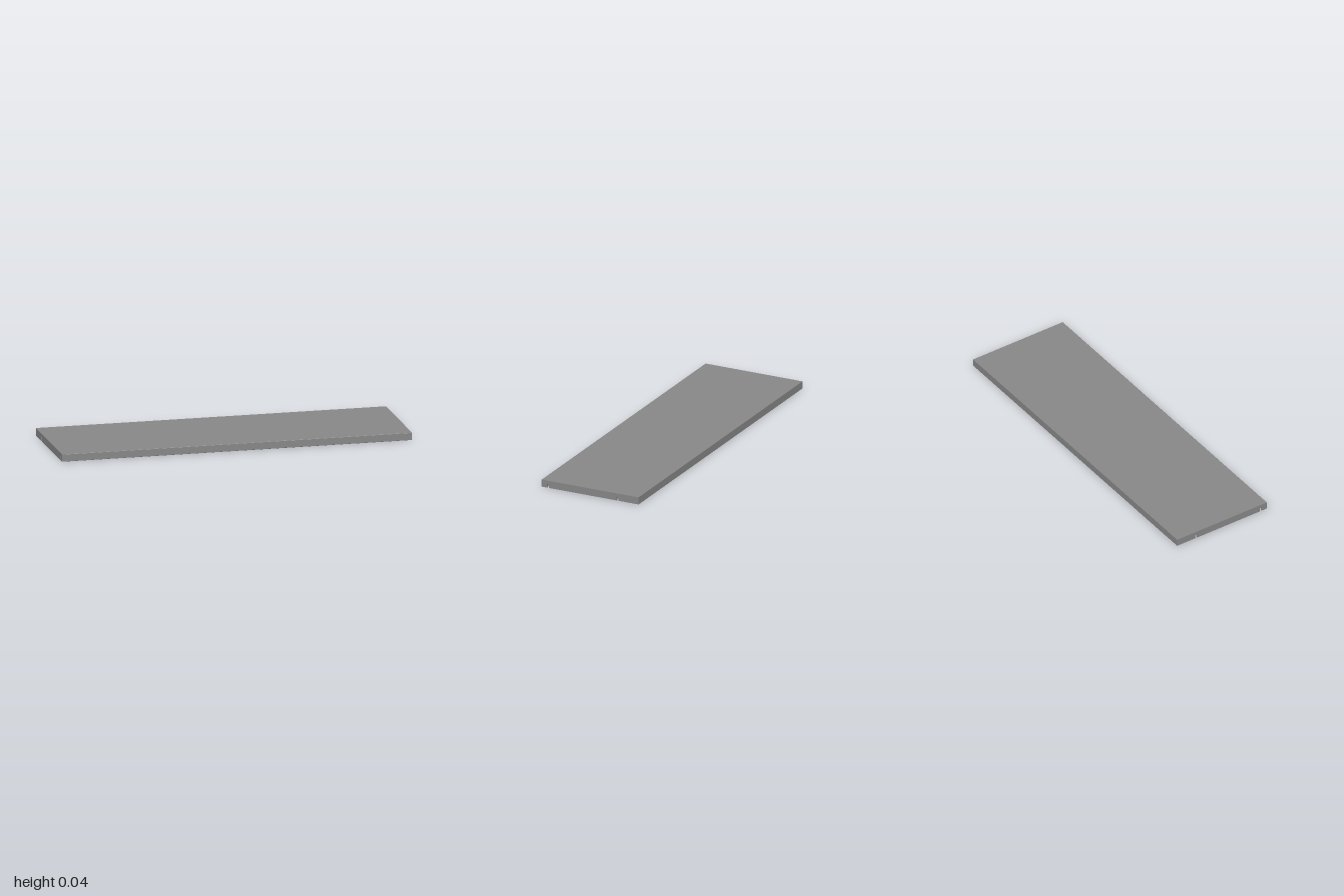
import * as THREE from 'three';

const BACK = 0.302, FRONT = 0.302, HEIGHT = 0.042;
const BAND = 0.002;            // thickness of the rounded front edge
const NOTCH_HEIGHT = 0.024;
const SLOT_HALF = 0.0058, POCKET_R = 0.014, POCKET_INSET = 0.021;
const NOTCHES = [-0.261, 0.172]; // plan positions, counted towards the back

export function createModel() {
  const group = new THREE.Group();
  group.name = 'shelfBoard';
  const material = new THREE.MeshStandardMaterial({ color: 0x878787 });

  const add = (name, geometry) => {
    const mesh = new THREE.Mesh(geometry, material);
    mesh.name = name;
    group.add(mesh);
  };

  // Keyhole outline: a slot from the board's end into a round pocket
  const keyhole = (side, c) => {
    const a = Math.asin(SLOT_HALF / POCKET_R), steps = 24;
    const points = [[side, c - side * SLOT_HALF]];
    for (let i = 0; i <= steps; i++) {
      const t = -a - (i / steps) * (2 * Math.PI - 2 * a);
      points.push([
        side * (1 - POCKET_INSET + POCKET_R * Math.cos(t)),
        c + side * POCKET_R * Math.sin(t),
      ]);
    }
    points.push([side, c + side * SLOT_HALF]);
    return points;
  };

  // Horizontal layer from a plan outline
  const layer = (points, y, height) => {
    const shape = new THREE.Shape(points.map(([x, z]) => new THREE.Vector2(x, z)));
    return new THREE.ExtrudeGeometry(shape, { depth: height, bevelEnabled: false })
      .rotateX(-Math.PI / 2)
      .translate(0, y, 0);
  };

  // Underside with four keyhole notches for the shelf pins
  const front = -(FRONT - BAND);
  add('notchedUnderside', layer([
    [-1, front], [1, front],
    ...NOTCHES.flatMap((c) => keyhole(1, c)),
    [1, BACK], [-1, BACK],
    ...[...NOTCHES].reverse().flatMap((c) => keyhole(-1, c)),
  ], 0, NOTCH_HEIGHT));

  // Solid top
  add('boardTop', layer(
    [[-1, front], [1, front], [1, BACK], [-1, BACK]],
    NOTCH_HEIGHT, HEIGHT - NOTCH_HEIGHT,
  ));

  // Front edge with softly rounded corners, run along x
  const profile = new THREE.Shape();
  profile.moveTo(front, 0);
  profile.lineTo(front, HEIGHT);
  profile.absarc(front, HEIGHT - BAND, BAND, Math.PI / 2, Math.PI, false);
  profile.absarc(front, BAND, BAND, Math.PI, Math.PI * 1.5, false);
  add('frontEdge', new THREE.ExtrudeGeometry(profile, {
    depth: 2, bevelEnabled: false, curveSegments: 4,
  }).translate(0, 0, -1).rotateY(Math.PI / 2));

  return group;
}
